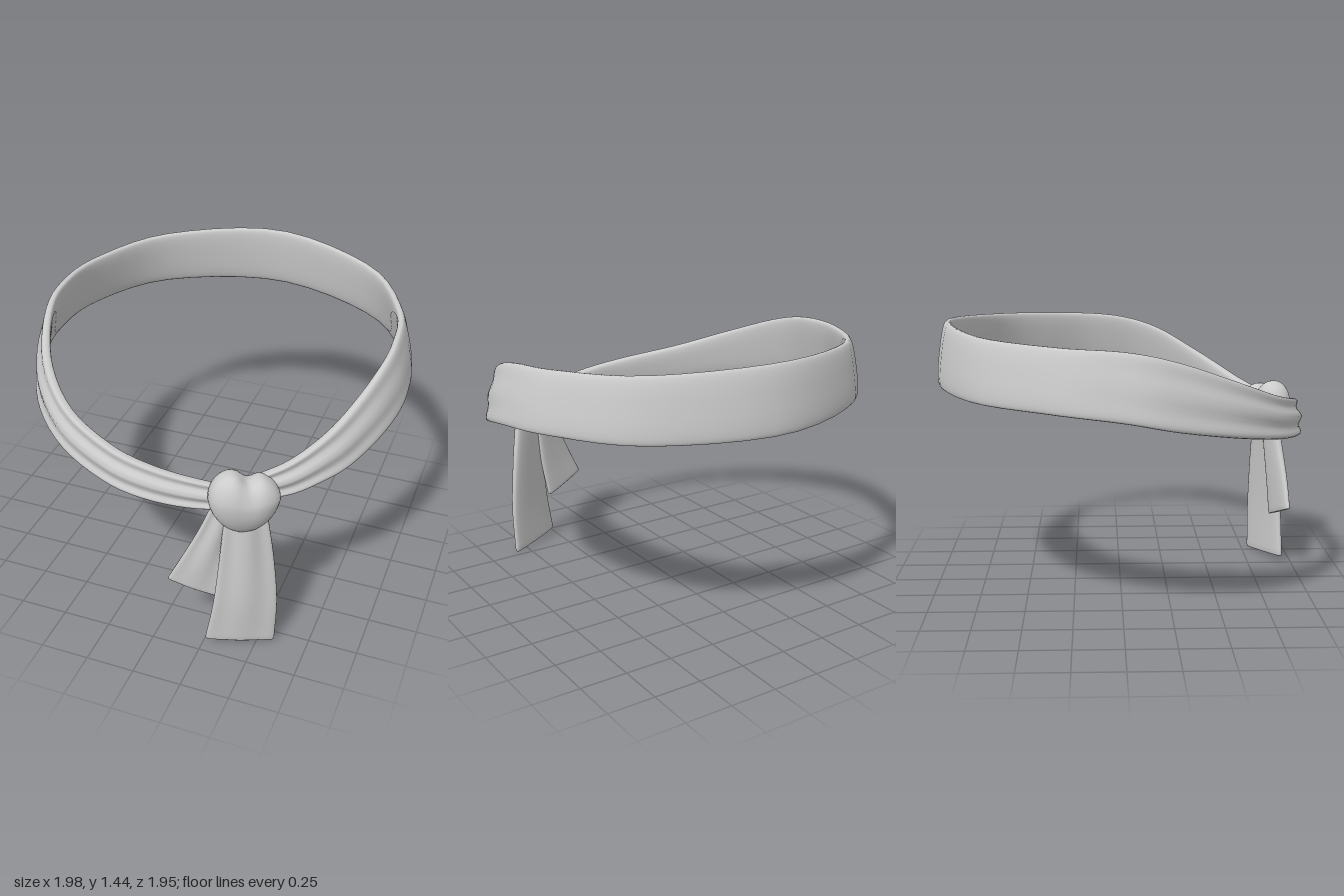
import * as THREE from 'three';
import { mergeVertices } from 'three/addons/utils/BufferGeometryUtils.js';

const material = new THREE.MeshStandardMaterial({ color: 0xcccccc, roughness: 0.8 });
const spow = (v, p) => Math.sign(v) * Math.pow(Math.abs(v), p);
const curve = (pts) => new THREE.CatmullRomCurve3(pts.map((p) => new THREE.Vector3(...p)), false, 'catmullrom', 0.5);

// Soft cloth strip lofted between two edges; profile rows are [half thickness, fold depth]
function ribbon(name, edgeA, edgeB, profile, steps, ridges) {
  const a = curve(edgeA), b = curve(edgeB);
  const prof = curve(profile.map(([t, f]) => [t, f, 0]));
  const sides = 36, pos = [], idx = [];
  const mid = (s) => a.getPoint(s).add(b.getPoint(s)).multiplyScalar(0.5);

  // Extra shrinking rings round off both ends
  const rings = [[0, 0.9, 0.35], [0, 0.97, 0.75]];
  for (let i = 0; i <= steps; i++) rings.push([0.012 + 0.976 * (i / steps), 1, 1]);
  rings.push([1, 0.97, 0.75], [1, 0.9, 0.35]);

  for (const [s, wide, thick] of rings) {
    const c = mid(s);
    const U = a.getPoint(s).sub(b.getPoint(s)).multiplyScalar(0.5);
    const T = mid(Math.min(1, s + 0.01)).sub(mid(Math.max(0, s - 0.01)));
    const V = U.clone().cross(T).normalize();
    const { x: half, y: fold } = prof.getPoint(s);
    for (let j = 0; j < sides; j++) {
      const th = (j / sides) * Math.PI * 2;
      const u = spow(Math.cos(th), 0.8), v = spow(Math.sin(th), 0.6);
      const bump = v > 0 ? v * fold * Math.cos(Math.PI * ridges * u) : 0;
      const p = c.clone().addScaledVector(U, u * wide).addScaledVector(V, (v * half + bump) * thick);
      pos.push(p.x, p.y, p.z);
    }
  }
  const n = rings.length;
  for (let i = 0; i < n - 1; i++) {
    for (let j = 0; j < sides; j++) {
      const k = (j + 1) % sides, r = i * sides, q = r + sides;
      idx.push(r + j, q + j, r + k, r + k, q + j, q + k);
    }
  }
  // End caps
  const first = mid(0), last = mid(1), m = n * sides;
  pos.push(first.x, first.y, first.z, last.x, last.y, last.z);
  for (let j = 0; j < sides; j++) {
    const k = (j + 1) % sides, r = (n - 1) * sides;
    idx.push(m, j, k, m + 1, r + k, r + j);
  }
  const g = new THREE.BufferGeometry();
  g.setAttribute('position', new THREE.Float32BufferAttribute(pos, 3));
  g.setIndex(idx);
  g.computeVertexNormals();
  const mesh = new THREE.Mesh(g, material);
  mesh.name = name;
  return mesh;
}

// Head loop: angle from the front, top y, bottom y, top radius, bottom radius, half thickness, fold depth
function headBand() {
  const rows = [
    [29, 1.0, 0.89, 0.92, 0.93, 0.03, 0.012],
    [40, 1.05, 0.885, 0.91, 0.935, 0.03, 0.012],
    [50, 1.12, 0.915, 0.905, 0.945, 0.03, 0.01],
    [60, 1.2, 0.95, 0.9, 0.955, 0.03, 0.008],
    [75, 1.32, 1.03, 0.9, 0.97, 0.028, 0.005],
    [90, 1.385, 1.085, 0.9, 0.975, 0.027, 0.002],
    [110, 1.41, 1.11, 0.9, 0.965, 0.027, 0],
    [140, 1.43, 1.115, 0.905, 0.955, 0.027, 0],
    [180, 1.455, 1.12, 0.905, 0.95, 0.027, 0],
    [220, 1.43, 1.12, 0.905, 0.955, 0.027, 0],
    [250, 1.41, 1.11, 0.9, 0.965, 0.027, 0],
    [270, 1.395, 1.08, 0.9, 0.975, 0.027, 0.002],
    [285, 1.345, 1.03, 0.9, 0.97, 0.028, 0.005],
    [305, 1.235, 0.97, 0.9, 0.955, 0.03, 0.008],
    [325, 1.13, 0.915, 0.905, 0.945, 0.03, 0.01],
    [345, 1.065, 0.87, 0.91, 0.94, 0.03, 0.012],
    [360, 1.025, 0.85, 0.915, 0.94, 0.03, 0.012],
    [375, 0.985, 0.84, 0.92, 0.935, 0.028, 0.012],
    [385, 0.96, 0.86, 0.92, 0.93, 0.028, 0.01],
  ];
  const polar = (deg, r, y) => {
    const t = THREE.MathUtils.degToRad(deg);
    return [Math.sin(t) * r, y, Math.cos(t) * r];
  };
  return ribbon('headBand',
    rows.map((r) => polar(r[0], r[4], r[2])),
    rows.map((r) => polar(r[0], r[3], r[1])),
    rows.map((r) => [r[5], r[6]]), 80, 2);
}

// Heart-like knot: a squared sphere, tapered below and notched on top
function knot() {
  let g = new THREE.SphereGeometry(1, 40, 28);
  g.deleteAttribute('uv');
  g.deleteAttribute('normal');
  g = mergeVertices(g, 1e-4);
  const p = g.attributes.position;
  for (let i = 0; i < p.count; i++) {
    const x = spow(p.getX(i), 0.85), y = spow(p.getY(i), 0.85), z = spow(p.getZ(i), 0.85);
    const taper = y < 0.2 ? 1 - 0.34 * Math.pow((0.2 - y) / 1.2, 1.2) : 1;
    const notch = Math.exp(-Math.pow((x - 0.1) / 0.25, 2));
    const crease = 1 - 0.13 * notch * THREE.MathUtils.smoothstep(y, -0.3, 0.6);
    const lean = y > 0 ? -0.03 * x * y : 0;
    p.setXYZ(i, x * 0.172 * taper, y * 0.165 - Math.max(0, y) * 0.04 * notch + lean, z * 0.108 * taper * crease);
  }
  g.computeVertexNormals();
  const mesh = new THREE.Mesh(g, material);
  mesh.name = 'knot';
  mesh.position.set(0.43, 0.895, 0.858);
  mesh.rotation.y = THREE.MathUtils.degToRad(27);
  return mesh;
}

export function createModel() {
  const group = new THREE.Group();
  group.name = 'knottedHeadband';
  group.add(headBand(), knot());

  // Long tail hanging in front
  group.add(ribbon('longTail',
    [[0.345, 0.85, 0.885], [0.33, 0.6, 0.91], [0.305, 0.3, 0.935], [0.263, 0.045, 0.945]],
    [[0.53, 0.82, 0.81], [0.565, 0.56, 0.8], [0.587, 0.28, 0.795], [0.58, 0.01, 0.795]],
    [[0.03, 0.012], [0.028, 0.012], [0.026, 0.008], [0.022, 0.003]], 28, 1.6));

  // Short tail swinging out behind it
  group.add(ribbon('shortTail',
    [[0.3, 0.9, 0.89], [0.225, 0.71, 0.915], [0.145, 0.54, 0.935], [0.068, 0.385, 0.945]],
    [[0.4, 0.86, 0.84], [0.375, 0.66, 0.855], [0.345, 0.47, 0.87], [0.31, 0.29, 0.88]],
    [[0.028, 0.01], [0.026, 0.01], [0.024, 0.006], [0.02, 0.002]], 24, 1.6));
  return group;
}
